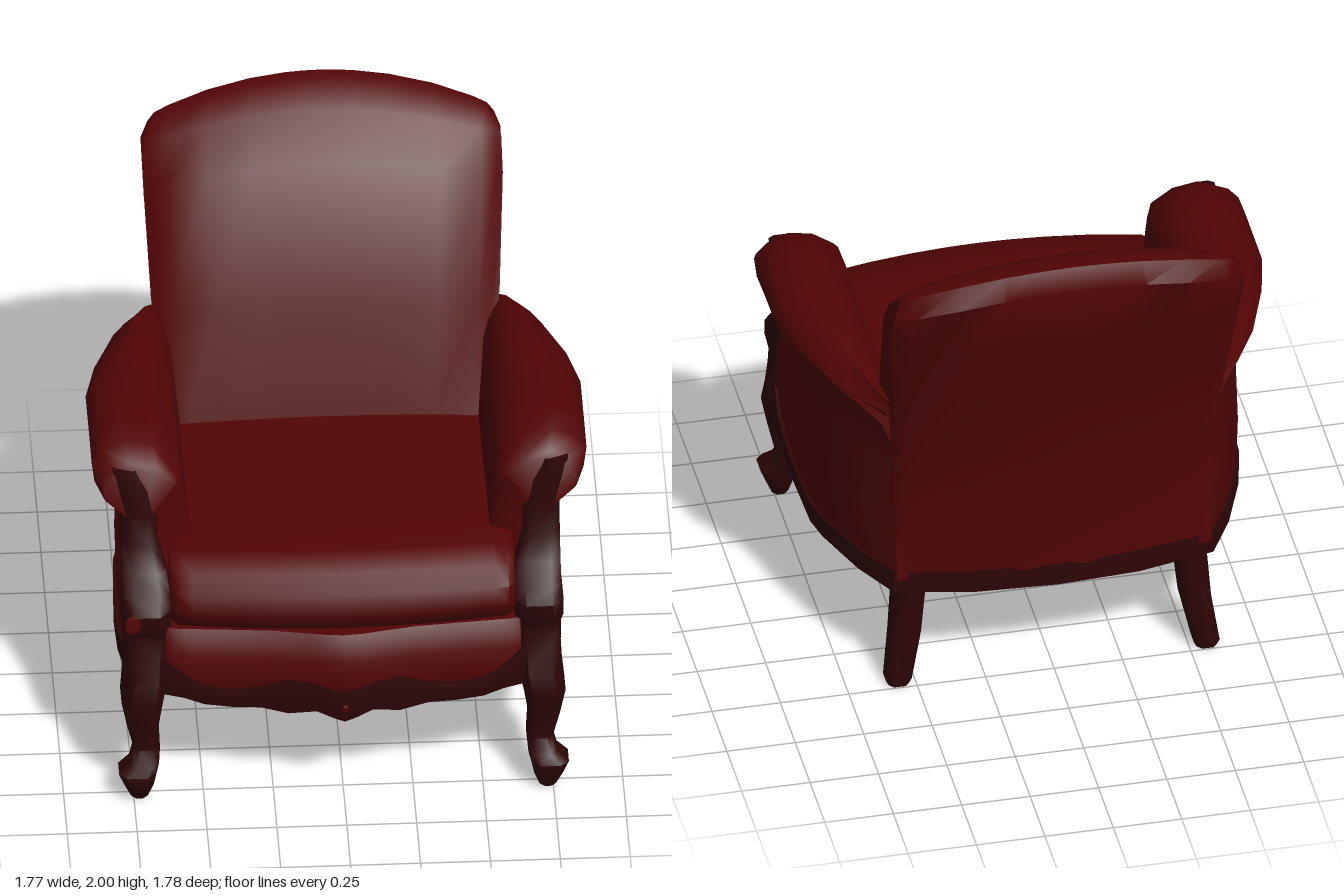
import * as THREE from 'three';
import { toCreasedNormals } from 'three/addons/utils/BufferGeometryUtils.js';

const V = (x, y, z) => new THREE.Vector3(x, y, z);
const { smoothstep, clamp, lerp } = THREE.MathUtils;

const ringCentre = (r) => r.reduce((a, p) => a.add(p), V(0, 0, 0)).divideScalar(r.length);

// Closed solid through equal-length rings of points, capped at both ends.
function loft(rings, crease = 0.7) {
  const n = rings[0].length;
  const tris = [];
  for (let i = 0; i < rings.length - 1; i++) {
    for (let j = 0; j < n; j++) {
      const k = (j + 1) % n;
      const [a, b, c, d] = [rings[i][j], rings[i][k], rings[i + 1][k], rings[i + 1][j]];
      tris.push([a, b, c], [a, c, d]);
    }
  }
  const first = rings[0], last = rings[rings.length - 1];
  const c0 = ringCentre(first), c1 = ringCentre(last);
  for (let j = 0; j < n; j++) {
    const k = (j + 1) % n;
    tris.push([c0, first[k], first[j]], [c1, last[j], last[k]]);
  }
  // Turn the solid outward whichever way the rings run
  let volume = 0;
  for (const [a, b, c] of tris) volume += a.dot(b.clone().cross(c));
  const points = tris.flatMap(([a, b, c]) => (volume < 0 ? [a, c, b] : [a, b, c]));
  return toCreasedNormals(new THREE.BufferGeometry().setFromPoints(points), crease);
}

// Pull a ring toward its middle, for rounded ends.
function shrink(ring, f) {
  const c = ringCentre(ring);
  return ring.map((p) => p.clone().lerp(c, 1 - f));
}

// Loft a side profile across x; ringAt(s) gives the ring for s in -1..1.
function acrossLoft(ringAt, endShrink) {
  const stations = [-1, -0.96, -0.88, -0.65, -0.4, -0.2, -0.1, 0, 0.1, 0.2, 0.4, 0.65, 0.88, 0.96, 1];
  return loft(stations.map((s) => (Math.abs(s) === 1 ? shrink(ringAt(s), endShrink) : ringAt(s))), 0.85);
}

// Upright member from rows of [y, x0, x1, z0, z1], as squarish octagons.
function column(rows, side) {
  const soft = (v) => Math.sign(v) * Math.abs(v) ** 0.65 * 1.04;
  return loft(rows.map(([y, x0, x1, z0, z1]) => Array.from({ length: 8 }, (_, i) => {
    const a = ((i + 0.5) / 8) * Math.PI * 2;
    const x = (x0 + x1) / 2 + (soft(Math.cos(a)) * (x1 - x0)) / 2;
    return V(side * x, y, (z0 + z1) / 2 + (soft(Math.sin(a)) * (z1 - z0)) / 2);
  })), 0.9);
}

export function createModel() {
  const fabric = new THREE.MeshStandardMaterial({ color: 0x530405 });
  fabric.name = 'dark red upholstery';
  const wood = new THREE.MeshStandardMaterial({ color: 0x2e0506 });
  wood.name = 'dark stained wood';

  const chair = new THREE.Group();
  chair.name = 'armchair';
  const add = (name, geo, mat) => {
    const mesh = new THREE.Mesh(geo, mat);
    mesh.name = name;
    chair.add(mesh);
    return mesh;
  };

  // Reclined back with a crowned top and bowed rear: [z, y, rear bow]
  const backProfile = [
    [-0.1, 0.6, 0], [-0.19, 0.95, 0], [-0.34, 1.32, 0], [-0.515, 1.72, 0.1], [-0.64, 1.83, 0.5],
    [-0.72, 1.885, 1], [-0.77, 1.885, 1], [-0.81, 1.81, 1], [-0.715, 1.6, 1], [-0.57, 1.05, 1],
    [-0.51, 0.75, 1], [-0.485, 0.46, 1],
  ];
  const backWidth = (y) => 0.57 + 0.055 * smoothstep(y, 0.95, 1.35)
    + 0.02 * smoothstep(y, 1.4, 1.75) - 0.025 * smoothstep(y, 1.82, 1.88);
  add('backrest', acrossLoft((s) => backProfile.map(([z, y, bow]) => {
    const bulge = 1 - s * s;
    const lift = 0.118 * bulge * smoothstep(y, 1.4, 1.85);
    // Thin the upper sides so the vertical edges are rounded
    const pinch = 0.5 * smoothstep(Math.abs(s), 0.8, 1.02) * smoothstep(y, 0.9, 1.3);
    const middle = -0.37 - 0.4 * (y - 0.95);
    return V(s * backWidth(y), y + lift, lerp(z, middle, pinch) - 0.075 * bow * bulge);
  }), 0.97), fabric);

  // Seat cushion, bowed forward in the middle
  const cushion = [
    [-0.25, 0.93], [0.3, 0.95], [0.68, 0.96], [0.8, 0.94], [0.855, 0.88], [0.865, 0.81],
    [0.82, 0.735], [0.7, 0.7], [-0.25, 0.7],
  ];
  add('seatCushion', acrossLoft((s) => cushion.map(([z, y]) =>
    V(s * 0.615, y + (y > 0.85 ? 0.018 * (1 - s * s) : 0), z - (z > 0.6 ? 0.055 * s * s : 0))), 0.93), fabric);

  // Plan curve of the seat front, with a bump in the middle
  const frontZ = (x) => 0.845 - 0.085 * x * x + 0.043 * Math.exp(-((x / 0.18) ** 2));

  // Upholstered seat base: rear points, then front rail points measured from the front curve
  const baseRear = [[0.6, 0.67], [-0.45, 0.67], [-0.45, 0.72], [0.6, 0.72]];
  const baseFront = [[-0.05, 0.715], [-0.03, 0.68], [-0.008, 0.62], [-0.004, 0.53], [-0.02, 0.46], [-0.09, 0.46]];
  add('seatBase', acrossLoft((s) => [
    ...baseRear.map(([z, y]) => V(s * 0.56, y, z)),
    ...baseFront.map(([dz, y]) => V(s * 0.635, y, frontZ(s * 0.635) + dz)),
  ], 0.97), fabric);

  // Scalloped wooden apron: [x, bottom, top]
  const scallop = [
    [0, 0.37, 0.5], [0.04, 0.385, 0.505], [0.1, 0.41, 0.53], [0.2, 0.39, 0.54], [0.3, 0.41, 0.5],
    [0.4, 0.41, 0.485], [0.5, 0.42, 0.5], [0.57, 0.445, 0.55], [0.65, 0.46, 0.62],
  ];
  const apron = [...scallop.slice(1).reverse().map(([x, b, t]) => [-x, b, t]), ...scallop];
  add('frontApron', loft(apron.map(([x, b, t]) => {
    const z = frontZ(x) + 0.005;
    return [V(x, b, z - 0.06), V(x, b, z - 0.01), V(x, (b + t) / 2, z), V(x, t, z - 0.004), V(x, t, z - 0.06)];
  })), wood);

  // Wooden rail round the sides and rear: [x, z, bottom, top]
  const half = [
    [0.775, 0.64, 0.46, 0.56], [0.793, 0.5, 0.445, 0.52], [0.797, 0.3, 0.43, 0.495], [0.783, 0, 0.415, 0.49],
    [0.76, -0.1, 0.415, 0.492], [0.677, -0.32, 0.415, 0.5], [0.585, -0.487, 0.415, 0.505],
    [0.3, -0.549, 0.415, 0.505],
  ];
  const rail = [...half, [0, -0.566, 0.415, 0.505], ...half.slice().reverse().map(([x, ...r]) => [-x, ...r])];
  add('bottomRail', loft(rail.map(([x, z, b, t]) => [
    V(x * 0.93, b, z * 0.93), V(x, b, z), V(x, t, z), V(x * 0.93, t, z * 0.93),
  ])), wood);

  // Arm stations: [z, panel x, roll outer x, top y, roll underside y]
  const armRows = [
    [0.55, 0.765, 0.86, 1.29, 1.13], [0.47, 0.775, 0.885, 1.33, 1.14], [0.35, 0.78, 0.885, 1.34, 1.15],
    [0.08, 0.775, 0.885, 1.338, 1.16], [-0.1, 0.75, 0.845, 1.335, 1.17], [-0.32, 0.665, 0.765, 1.32, 1.19],
    [-0.43, 0.61, 0.69, 1.285, 1.2], [-0.5, 0.572, 0.63, 1.25, 1.19],
  ];
  const armRing = ([z, xo, xr, top, under], side) => {
    const lean = clamp((z - 0.2) / 0.35, 0, 1);
    const inner = Math.min(0.58, xr - 0.08);
    return [
      [0.53, 0.47, 0.07], [0.535, 0.95, -0.03], [inner - 0.02, 1.18, -0.03], [inner, top - 0.07, 0],
      [inner + (xr - inner) * 0.28, top - 0.015, 0], [inner + (xr - inner) * 0.6, top, 0],
      [xr - 0.04, top - 0.03, 0], [xr, top - 0.08, 0.01], [xr - 0.01, under + 0.03, 0.01],
      [(xr + xo) / 2, under - 0.01, 0], [xo + 0.01, under - 0.06, -0.05], [xo, 0.95, -0.03],
      [xo + 0.008, 0.7, 0.06], [xo, 0.47, 0.07],
    ].map(([x, y, dz]) => V(side * x, y, z + dz * lean));
  };

  // Carved front post running down into a curved leg and pad foot
  const postRows = [
    [1.27, 0.72, 0.815, 0.51, 0.575], [1.18, 0.675, 0.805, 0.45, 0.585], [1.08, 0.655, 0.785, 0.45, 0.585],
    [0.97, 0.65, 0.785, 0.48, 0.61], [0.88, 0.625, 0.785, 0.53, 0.655], [0.82, 0.615, 0.785, 0.555, 0.73],
    [0.78, 0.615, 0.79, 0.58, 0.79], [0.72, 0.615, 0.79, 0.605, 0.79], [0.67, 0.615, 0.78, 0.61, 0.755],
    [0.6, 0.62, 0.78, 0.61, 0.775], [0.5, 0.625, 0.785, 0.6, 0.81], [0.41, 0.645, 0.795, 0.64, 0.825],
    [0.31, 0.66, 0.775, 0.69, 0.805], [0.2, 0.655, 0.75, 0.69, 0.785], [0.15, 0.66, 0.765, 0.7, 0.82],
    [0.12, 0.67, 0.805, 0.71, 0.845], [0.07, 0.68, 0.785, 0.72, 0.835], [0.01, 0.7, 0.76, 0.74, 0.805],
    [0, 0.71, 0.75, 0.75, 0.795],
  ];
  // Splayed rear leg
  const rearRows = [
    [0.52, 0.45, 0.57, -0.475, -0.34], [0.4, 0.455, 0.57, -0.47, -0.34], [0.2, 0.475, 0.585, -0.475, -0.36],
    [0.02, 0.515, 0.61, -0.5, -0.405], [0, 0.525, 0.6, -0.495, -0.41],
  ];

  for (const [side, label] of [[1, 'left'], [-1, 'right']]) {
    const rings = armRows.map((row) => armRing(row, side));
    rings.unshift(shrink(rings[0], 0.93).map((p) => p.setZ(p.z + 0.018)));
    add(label + 'Arm', loft(rings, 0.95), fabric);
    add(label + 'FrontPostAndLeg', column(postRows, side), wood);
    add(label + 'RearLeg', column(rearRows, side), wood);
  }

  // Small red insets on the right post and the middle of the apron: [x, y, z, rx, ry]
  for (const [x, y, z, rx, ry] of [[-0.755, 0.75, 0.791, 0.03, 0.04], [0, 0.43, 0.892, 0.013, 0.015]]) {
    const inset = add('redInset', new THREE.SphereGeometry(1, 12, 8), fabric);
    inset.position.set(x, y, z);
    inset.scale.set(rx, ry, 0.004);
  }
  return chair;
}
